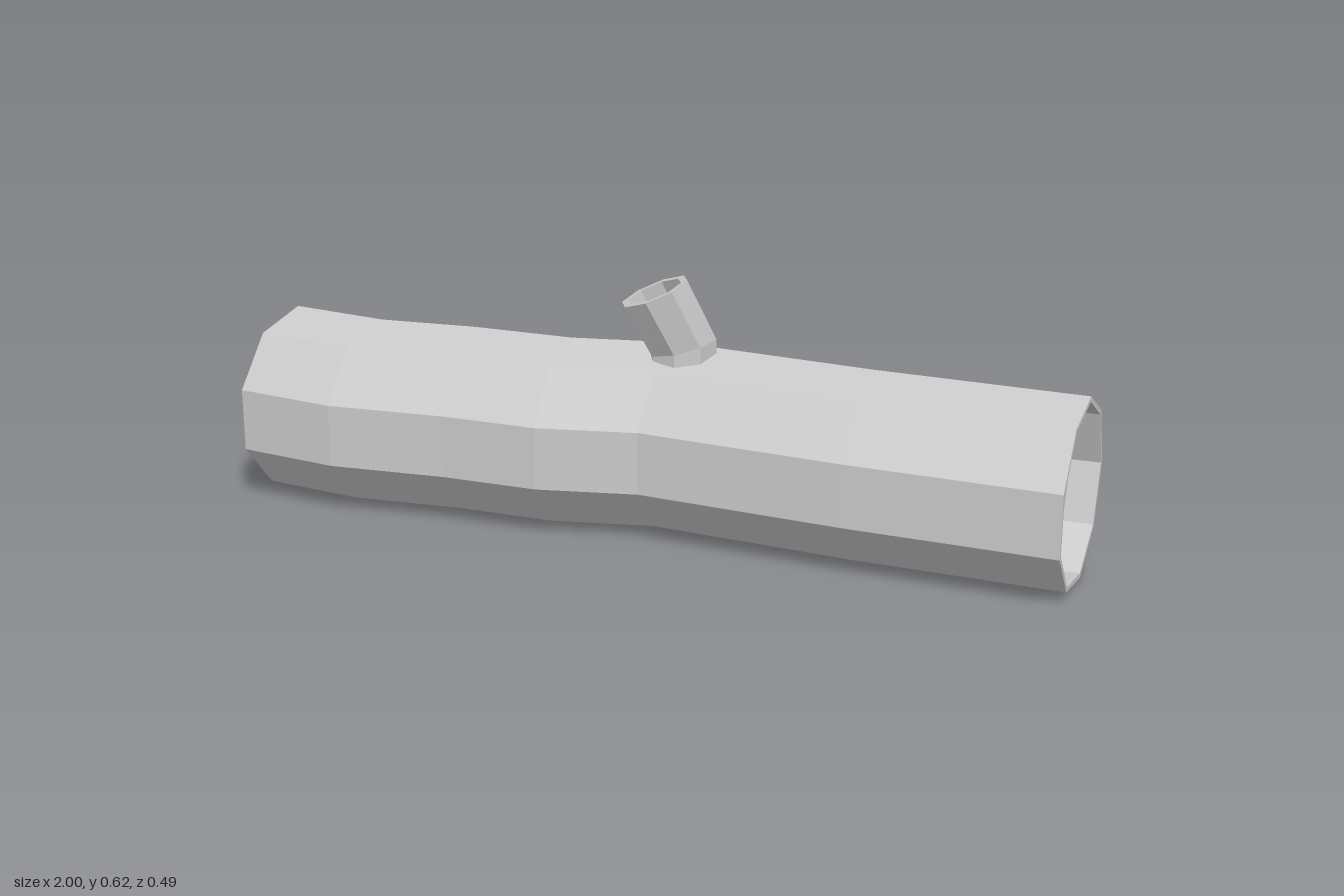
import * as THREE from 'three';

const material = new THREE.MeshStandardMaterial({ color: 0xcccccc, flatShading: true });

// Skin a list of equal-sized rings and close both ends with fans
function loft(name, rings) {
  const pos = [];
  const n = rings[0].length;
  const tri = (...pts) => pts.forEach((p) => pos.push(p.x, p.y, p.z));
  const middle = (ring) =>
    ring.reduce((sum, p) => sum.add(p), new THREE.Vector3()).divideScalar(n);
  const first = rings[0], last = rings[rings.length - 1];
  const start = middle(first), end = middle(last);
  for (let i = 0; i < n; i++) {
    const j = (i + 1) % n;
    for (let k = 0; k < rings.length - 1; k++) {
      const a = rings[k], b = rings[k + 1];
      tri(a[i], a[j], b[j]);
      tri(a[i], b[j], b[i]);
    }
    tri(start, first[j], first[i]);
    tri(end, last[i], last[j]);
  }
  const geometry = new THREE.BufferGeometry();
  geometry.setAttribute('position', new THREE.Float32BufferAttribute(pos, 3));
  geometry.computeVertexNormals();
  const mesh = new THREE.Mesh(geometry, material);
  mesh.name = name;
  return mesh;
}

// Nine-sided trunk section, spanning a back point and a front point
const R = 0.222;
const CENTRE_Y = R * Math.sin((80 * Math.PI) / 180);
function trunkRing([backX, backZ, frontX, frontZ], scale = 1, shift = 0) {
  const depth = R * (1 + Math.cos(Math.PI / 9));
  return Array.from({ length: 9 }, (_, i) => {
    const a = (i / 9) * Math.PI * 2;
    const t = (R - R * scale * Math.cos(a)) / depth;
    return new THREE.Vector3(
      THREE.MathUtils.lerp(backX, frontX, t) + shift,
      CENTRE_Y + R * scale * Math.sin(a),
      THREE.MathUtils.lerp(backZ, frontZ, t)
    );
  });
}

// Eight-sided branch section, its plane sloped in x and z
function branchRing([x, y, z], r, slopeX, slopeZ) {
  return Array.from({ length: 8 }, (_, i) => {
    const a = (i / 8) * Math.PI * 2 + 0.07;
    const dx = r * Math.sin(a), dz = r * Math.cos(a);
    return new THREE.Vector3(x + dx, y + slopeX * dx + slopeZ * dz, z + dz);
  });
}

export function createModel() {
  const group = new THREE.Group();
  group.name = 'log';

  // Crooked trunk: back x, back z, front x, front z of each section
  const sections = [
    [-0.94, -0.21, -1.0, 0.21],
    [-0.7, -0.18, -0.755, 0.243],
    [-0.5, -0.2, -0.475, 0.222],
    [-0.24, -0.2, -0.24, 0.224],
    [0.025, -0.248, -0.005, 0.177],
    [0.5, -0.206, 0.49, 0.216],
    [1.0, -0.189, 0.982, 0.236],
  ];
  const left = sections[sections.length - 1], right = sections[0];
  const inset = 0.945, recess = 0.07;
  group.add(loft('trunk', [
    trunkRing(right, inset, recess),
    trunkRing(right, inset),
    ...sections.map((s) => trunkRing(s)),
    trunkRing(left, inset),
    trunkRing(left, inset, -recess),
  ]));

  // Leaning branch stub with a hollowed tip
  group.add(loft('branchStub', [
    branchRing([0.035, 0.38, -0.028], 0.081, 0, 0),
    branchRing([0.035, 0.445, -0.028], 0.081, 0.27, 0),
    branchRing([-0.015, 0.588, 0.027], 0.078, 0.4, -0.1),
    branchRing([-0.015, 0.588, 0.027], 0.062, 0.4, -0.1),
    branchRing([-0.002, 0.55, 0.013], 0.062, 0.4, -0.1),
  ]));
  return group;
}
